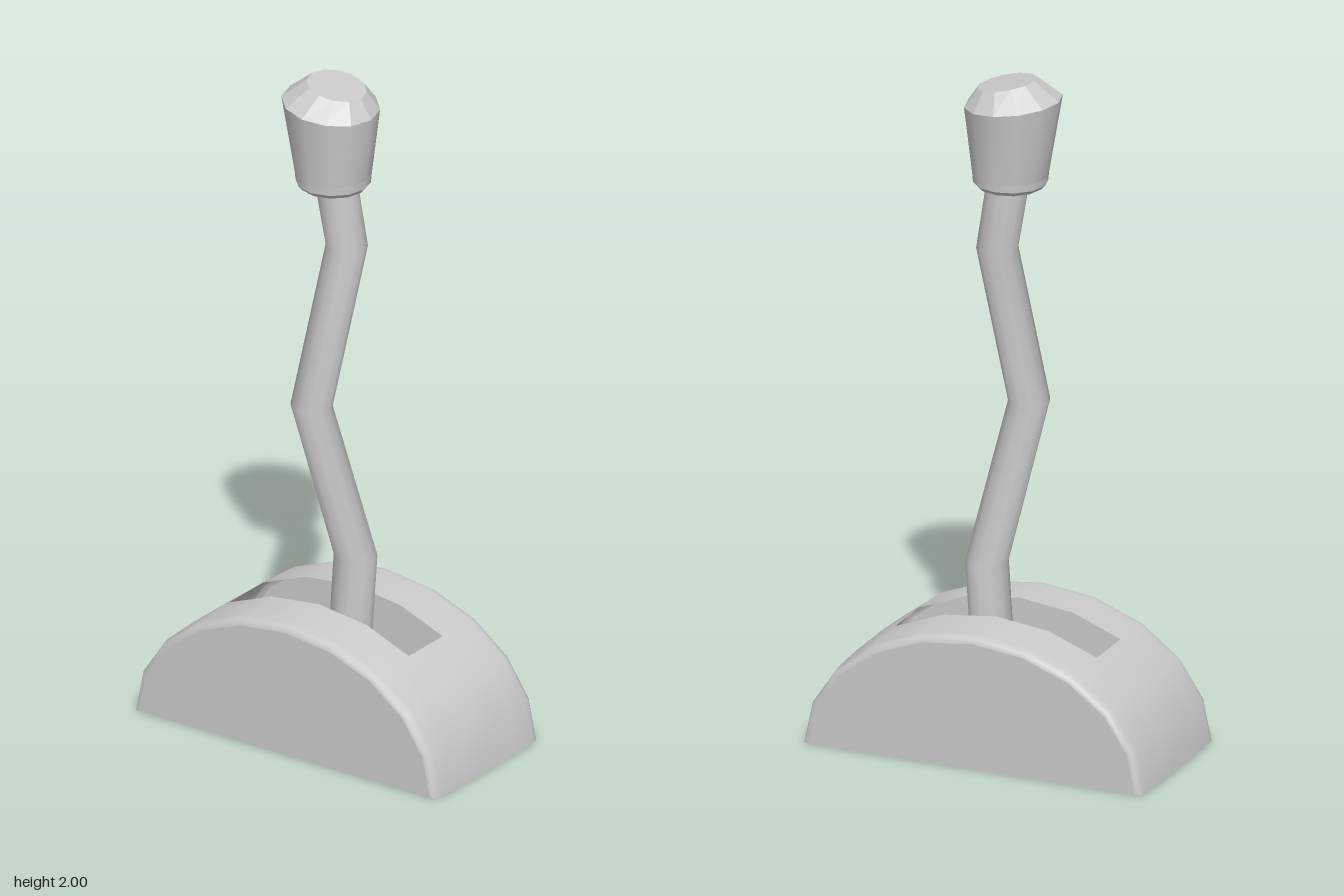
import * as THREE from 'three';
import { toCreasedNormals } from 'three/addons/utils/BufferGeometryUtils.js';

const SIDES = 12;

function indexed(positions, indices) {
  const g = new THREE.BufferGeometry();
  g.setAttribute('position', new THREE.Float32BufferAttribute(positions, 3));
  g.setIndex(indices);
  g.computeVertexNormals();
  return g;
}

// Skin round sections given bottom to top as [x, y, z, radius, slope of y along x]
function loft(rings, capBottom, capTop) {
  const pos = [], idx = [];
  for (const [cx, cy, cz, r, slope = 0] of rings) {
    for (let i = 0; i < SIDES; i++) {
      const a = (i / SIDES) * Math.PI * 2;
      const dx = Math.cos(a) * r;
      pos.push(cx + dx, cy + slope * dx, cz - Math.sin(a) * r);
    }
  }
  const last = rings.length - 1;
  for (let k = 0; k < last; k++) {
    for (let i = 0; i < SIDES; i++) {
      const a = k * SIDES + i, b = k * SIDES + (i + 1) % SIDES;
      idx.push(a, b, b + SIDES, a, b + SIDES, a + SIDES);
    }
  }
  for (let i = 1; i < SIDES - 1; i++) {
    if (capBottom) idx.push(0, i + 1, i);
    if (capTop) idx.push(last * SIDES, last * SIDES + i, last * SIDES + i + 1);
  }
  return indexed(pos, idx);
}

// Point on the ten-sided half ellipse of the housing, pulled in by inset
function archPoint(i, inset) {
  const a = (i / 10) * Math.PI;
  return [Math.cos(a) * (0.53 - inset), Math.sin(a) * (0.403 - inset)];
}

// Curved housing wall with rounded rims and a slot in the top
function housingWall() {
  const half = [[0.25, 0.026], [0.247, 0.014], [0.238, 0.008], [0.22, 0.005], [0.15, 0.002], [0.082, 0]];
  const rows = [...half, ...half.slice().reverse().map(([z, d]) => [-z, d])];
  const pos = [], idx = [];
  for (const [z, inset] of rows) {
    for (let i = 0; i <= 10; i++) pos.push(...archPoint(i, inset), z);
  }
  for (let k = 0; k < rows.length - 1; k++) {
    for (let i = 0; i < 10; i++) {
      if (k === half.length - 1 && i >= 3 && i < 7) continue; // slot opening
      const a = k * 11 + i, b = a + 11;
      idx.push(a, b, b + 1, a, b + 1, a + 1);
    }
  }
  return indexed(pos, idx);
}

export function createModel() {
  const group = new THREE.Group();
  const smooth = new THREE.MeshStandardMaterial({ color: 0xcccccc });
  const faceted = new THREE.MeshStandardMaterial({ color: 0xcccccc, flatShading: true });
  const sheet = new THREE.MeshStandardMaterial({ color: 0xcccccc, side: THREE.DoubleSide });

  const add = (name, geometry, material) => {
    const mesh = new THREE.Mesh(geometry, material);
    mesh.name = name;
    group.add(mesh);
    return mesh;
  };

  // Hollow housing, open underneath
  add('housingWall', housingWall(), sheet);
  const arch = [];
  for (let i = 0; i <= 10; i++) arch.push(new THREE.Vector2(...archPoint(i, 0.026)));
  const end = new THREE.ShapeGeometry(new THREE.Shape(arch));
  add('housingFront', end, sheet).position.z = 0.25;
  const back = add('housingBack', end, sheet);
  back.position.z = -0.25;
  back.rotation.y = Math.PI;

  // Crooked rod reaching down through the slot
  const rod = loft([
    [0.03, 0.005, 0.0, 0.061],
    [0.06, 0.54, -0.011, 0.062],
    [-0.033, 1.01, 0.072, 0.06],
    [0.026, 1.49, -0.016, 0.06],
    [-0.005, 1.72, 0.002, 0.062],
  ], true, true);
  add('rod', toCreasedNormals(rod, 0.7), smooth);

  // Knob: lower collar, flared grip and a tilted, chamfered top
  const collar = loft([
    [-0.005, 1.675, 0.005, 0.095],
    [-0.006, 1.688, 0.005, 0.107],
    [-0.006, 1.713, 0.005, 0.109],
  ], true, true);
  add('knobCollar', toCreasedNormals(collar, 0.6), smooth);

  const rim = [-0.014, 1.927, 0.006, 0.14, -0.12];
  const grip = loft([[-0.006, 1.705, 0.005, 0.108], rim], false, false);
  add('knobGrip', toCreasedNormals(grip, 0.7), smooth);

  const top = loft([rim, [0.003, 1.983, 0.001, 0.085, -0.2]], false, true);
  add('knobTop', top, faceted);

  return group;
}
